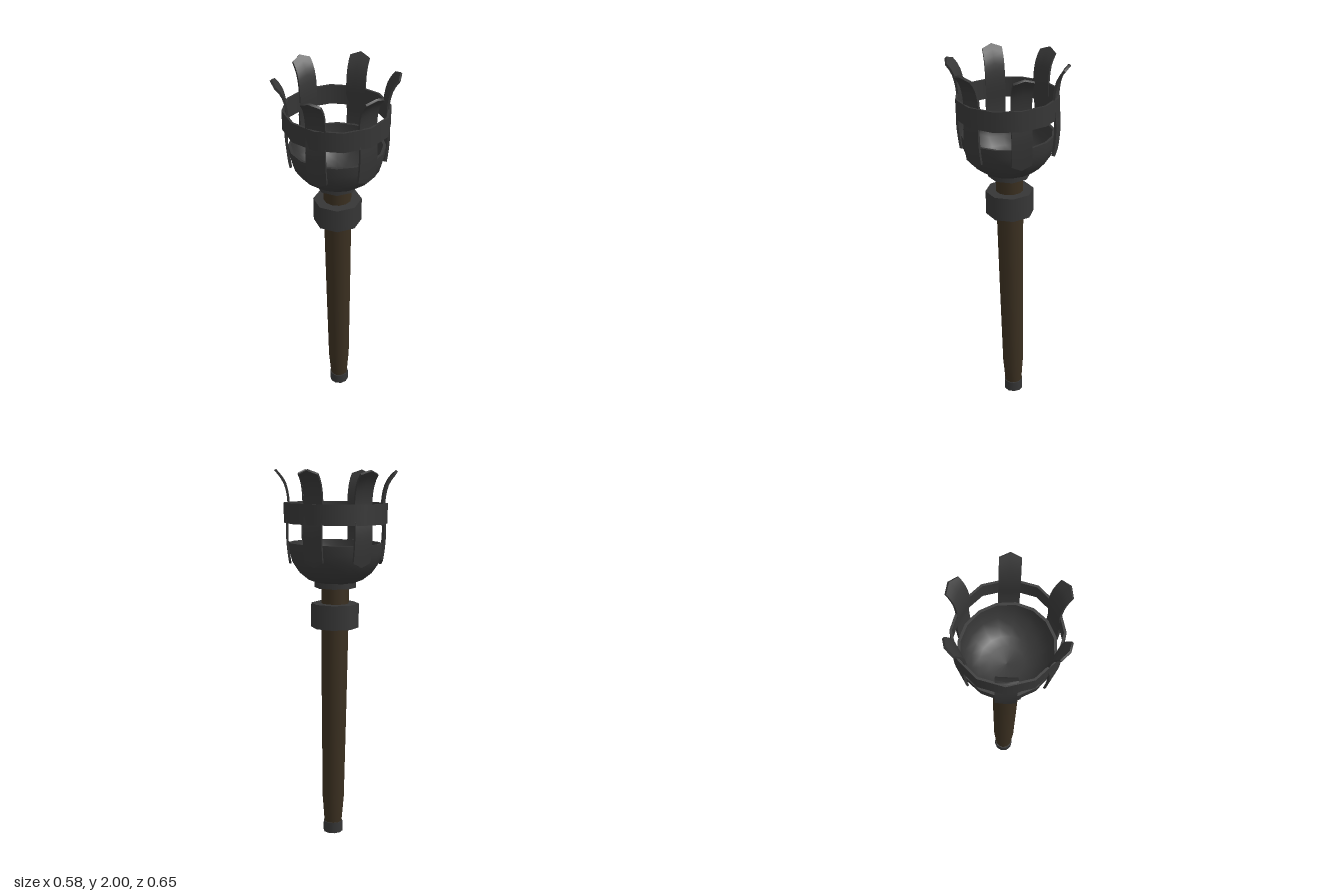
import * as THREE from 'three';
import { mergeGeometries } from 'three/addons/utils/BufferGeometryUtils.js';

const iron = new THREE.MeshStandardMaterial({ color: 0x363636 });
iron.name = 'dark iron';
const wood = new THREE.MeshStandardMaterial({ color: 0x3a2f20 });
wood.name = 'dark wood';

// Turned part: each strip of [radius, y] points is smooth, with sharp edges between strips
function turned(name, strips, sides, material, turn = 0) {
  const geometry = mergeGeometries(strips.map((strip) =>
    new THREE.LatheGeometry(strip.map(([r, y]) => new THREE.Vector2(r, y)), sides)));
  geometry.rotateY(turn);
  const mesh = new THREE.Mesh(geometry, material);
  mesh.name = name;
  return mesh;
}

// Hollow hoop with a rectangular section
function hoop(name, inner, outer, y0, y1, sides, turn = 0) {
  return turned(name, [
    [[inner, y0], [outer, y0]],
    [[outer, y0], [outer, y1]],
    [[outer, y1], [inner, y1]],
    [[inner, y1], [inner, y0]],
  ], sides, iron, turn);
}

// Curved metal strap with pointed ends, bent along a side profile of (radius, y)
function prongGeometry() {
  const width = 0.105, thickness = 0.012;
  const profile = new THREE.SplineCurve([
    [0.238, 1.5], [0.25, 1.58], [0.256, 1.68], [0.248, 1.78],
    [0.252, 1.86], [0.272, 1.93], [0.318, 1.988],
  ].map(([r, y]) => new THREE.Vector2(r, y)));
  const geometry = new THREE.BoxGeometry(width, 1, thickness, 2, 14, 1);
  const pos = geometry.attributes.position;
  for (let i = 0; i < pos.count; i++) {
    const x = pos.getX(i), side = pos.getZ(i);
    let t = pos.getY(i) + 0.5;
    if (Math.abs(x) > 0.01) t = 0.05 + 0.9 * t;
    t = THREE.MathUtils.clamp(t, 0, 1);
    const p = profile.getPointAt(t), d = profile.getTangentAt(t);
    pos.setXYZ(i, x, p.y - d.x * side, p.x + d.y * side);
  }
  geometry.computeVertexNormals();
  return geometry;
}

export function createModel() {
  const model = new THREE.Group();
  model.name = 'torch';
  const torch = new THREE.Group();
  torch.name = 'leaningTorch';
  torch.rotation.x = 0.0206;
  torch.position.set(0, 0.001, -0.037);
  model.add(torch);

  // Wooden shaft, narrowing near the foot
  torch.add(turned('handle', [
    [[0.047, 0.05], [0.059, 0.2], [0.067, 0.7], [0.073, 1.15], [0.074, 1.39]],
  ], 12, wood));

  // Iron foot cap
  torch.add(turned('footCap', [
    [[0, 0], [0.053, 0]],
    [[0.053, 0], [0.053, 0.06]],
    [[0.053, 0.06], [0, 0.06]],
  ], 10, iron));

  // Thick ring on the shaft and the flange under the bowl
  torch.add(hoop('shaftRing', 0.07, 0.128, 1.16, 1.29, 8, Math.PI / 8));
  torch.add(turned('bowlFlange', [
    [[0, 1.375], [0.112, 1.375]],
    [[0.112, 1.375], [0.112, 1.405]],
    [[0.112, 1.405], [0, 1.405]],
  ], 8, iron, Math.PI / 8));

  // Open bowl: outside, rim and inside
  const bowl = turned('bowl', [
    [[0, 1.395], [0.1, 1.4], [0.15, 1.42], [0.195, 1.455], [0.23, 1.505], [0.246, 1.56], [0.25, 1.612]],
    [[0.25, 1.612], [0.235, 1.612]],
    [[0.235, 1.612], [0.231, 1.56], [0.215, 1.51], [0.183, 1.468], [0.14, 1.437], [0.09, 1.42], [0, 1.412]],
  ], 16, iron);
  bowl.scale.z = 0.97;
  torch.add(bowl);

  // Thin band holding the prongs
  const band = hoop('band', 0.263, 0.275, 1.715, 1.82, 12);
  band.scale.z = 0.975;
  torch.add(band);

  // Six prongs around the bowl
  const strap = prongGeometry();
  for (let i = 0; i < 6; i++) {
    const prong = new THREE.Mesh(strap, iron);
    prong.name = 'prong' + (i + 1);
    prong.rotation.y = i * Math.PI / 3;
    torch.add(prong);
  }
  return model;
}
